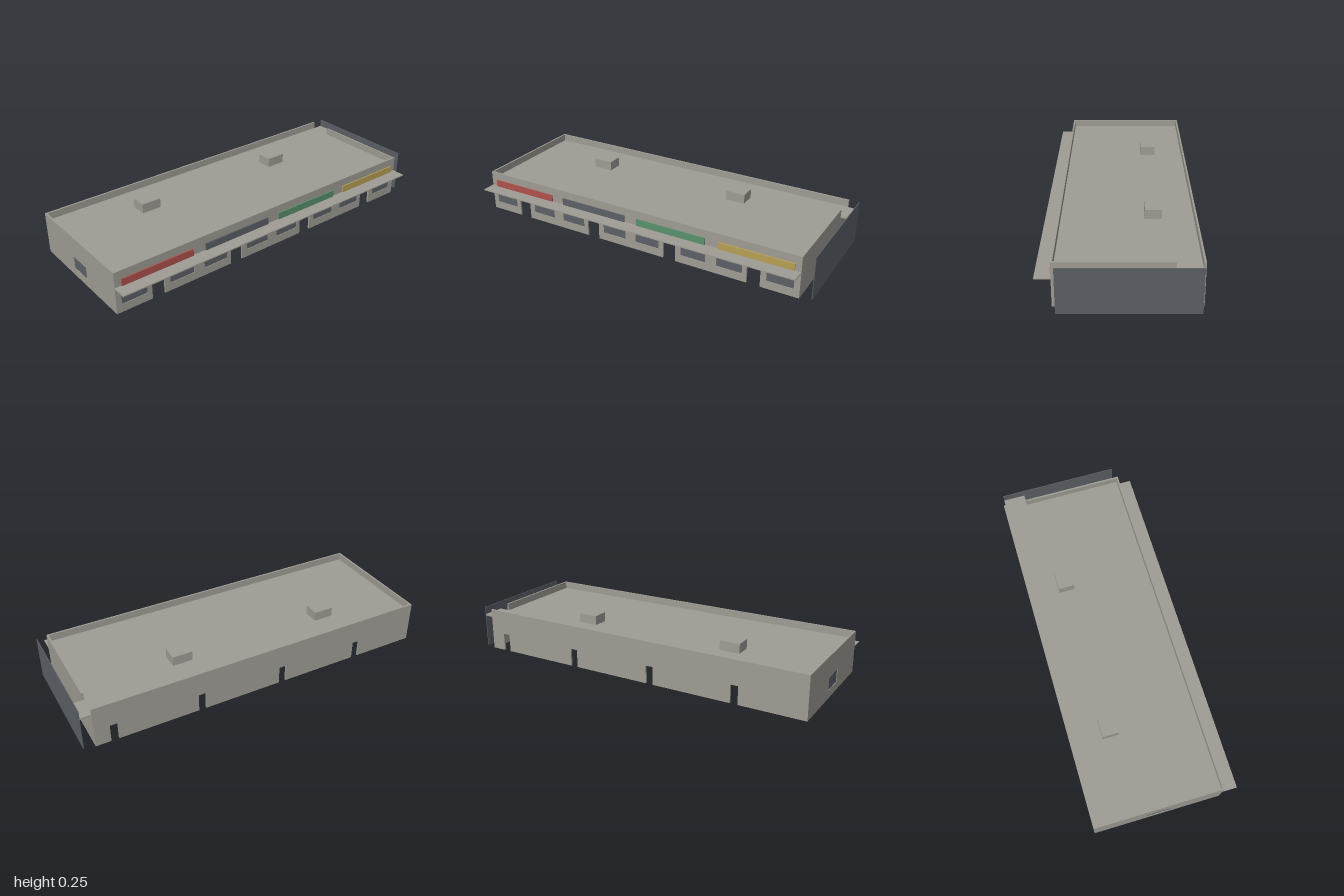
import * as THREE from 'three';

export function createModel() {
  const model = new THREE.Group();
  model.name = 'shopBuilding';

  const material = (name, color) => {
    const m = new THREE.MeshStandardMaterial({ color });
    m.name = name;
    return m;
  };
  const concrete = material('concrete', 0xa09d95);
  const slate = material('slate', 0x5c6167);
  const red = material('signRed', 0xb0524b);
  const green = material('signGreen', 0x5a926c);
  const yellow = material('signYellow', 0xb8a055);

  // Overall extents
  const X0 = -1, X1 = 0.94, Z0 = -0.39, Z1 = 0.313;
  const TOP = 0.235, T = 0.01, DECK = 0.195;

  const add = (name, geometry, mat) => {
    const mesh = new THREE.Mesh(geometry, mat);
    mesh.name = name;
    model.add(mesh);
    return mesh;
  };

  // Box given by its lower and upper corners
  const box = (name, mat, x0, x1, y0, y1, z0, z1) => {
    const mesh = add(name, new THREE.BoxGeometry(x1 - x0, y1 - y0, z1 - z0), mat);
    mesh.position.set((x0 + x1) / 2, (y0 + y1) / 2, (z0 + z1) / 2);
  };

  // Wall outline with door notches at the foot, window holes and an optional dip in the top
  const wallGeometry = (a, b, doors, doorHeight, windows, dip) => {
    const points = [[a, 0]];
    for (const [l, r] of doors) points.push([l, 0], [l, doorHeight], [r, doorHeight], [r, 0]);
    points.push([b, 0], [b, TOP]);
    if (dip) points.push([dip[1], TOP], [dip[1], dip[2]], [dip[0], dip[2]], [dip[0], TOP]);
    points.push([a, TOP]);
    const shape = new THREE.Shape(points.map(([u, v]) => new THREE.Vector2(u, v)));
    for (const [l, r, y0, y1] of windows) {
      shape.holes.push(new THREE.Path([[l, y0], [l, y1], [r, y1], [r, y0]].map(([u, v]) => new THREE.Vector2(u, v))));
    }
    return new THREE.ExtrudeGeometry(shape, { depth: T, bevelEnabled: false });
  };

  // Four shop units: a front door between two windows, and a narrow back door
  const frontDoors = [], backDoors = [], windows = [];
  for (let i = 0; i < 4; i++) {
    const x = -0.762 + i * 0.4855;
    frontDoors.push([x - 0.037, x + 0.037]);
    backDoors.push([x + 0.121, x + 0.163]);
    windows.push([x - 0.207, x - 0.063, 0.045, 0.135], [x + 0.07, x + 0.214, 0.045, 0.135]);
  }

  // Long walls
  add('frontWall', wallGeometry(X0, X1, frontDoors, 0.107, windows), concrete).position.z = Z1 - T;
  add('backWall', wallGeometry(X0, X1, backDoors, 0.1, []), concrete).position.z = Z0;

  // End walls, the left one open in the parapet where the roof runs through
  const endWindow = [-0.1, 0.03, 0.045, 0.115];
  const endWall = (name, x, holes, dip) => {
    const geometry = wallGeometry(Z0 + T, Z1 - T, [], 0, holes, dip).rotateY(-Math.PI / 2);
    add(name, geometry, concrete).position.x = x;
  };
  endWall('rightWall', X0 + T, [endWindow]);
  endWall('leftWall', X1, [], [-0.379, -0.255, DECK - 0.01]);

  // Glass set inside the wall openings
  for (const [l, r, y0, y1] of windows) box('windowGlass', slate, l, r, y0, y1, Z1 - 0.007, Z1 - 0.003);
  box('endWindowGlass', slate, X0 + 0.003, X0 + 0.007, endWindow[2], endWindow[3], endWindow[0], endWindow[1]);

  // Flat roof behind the parapet, with a ledge on the left side
  box('roofDeck', concrete, X0 + T, X1 - T, DECK - 0.01, DECK, Z0 + T, Z1 - T);
  box('roofLedge', concrete, X1 - T, 0.998, DECK - 0.01, DECK, -0.379, -0.255);

  // Rooftop units
  for (const x of [-0.508, 0.376]) box('rooftopUnit', concrete, x - 0.056, x + 0.056, DECK, 0.248, -0.216, -0.128);

  // Canopy over the shop fronts
  box('canopy', concrete, X0, X1, 0.145, 0.151, Z1, 0.392);

  // Sign boards above the canopy
  [red, slate, green, yellow].forEach((mat, i) => {
    const x = -0.963 + i * 0.4865;
    box('signBoard', mat, x, x + 0.41, 0.151, 0.19, Z1, Z1 + 0.007);
  });

  // Freestanding screen beside the left wall
  box('sideScreen', slate, 0.996, 1, 0, 0.239, -0.379, 0.293);

  return model;
}
